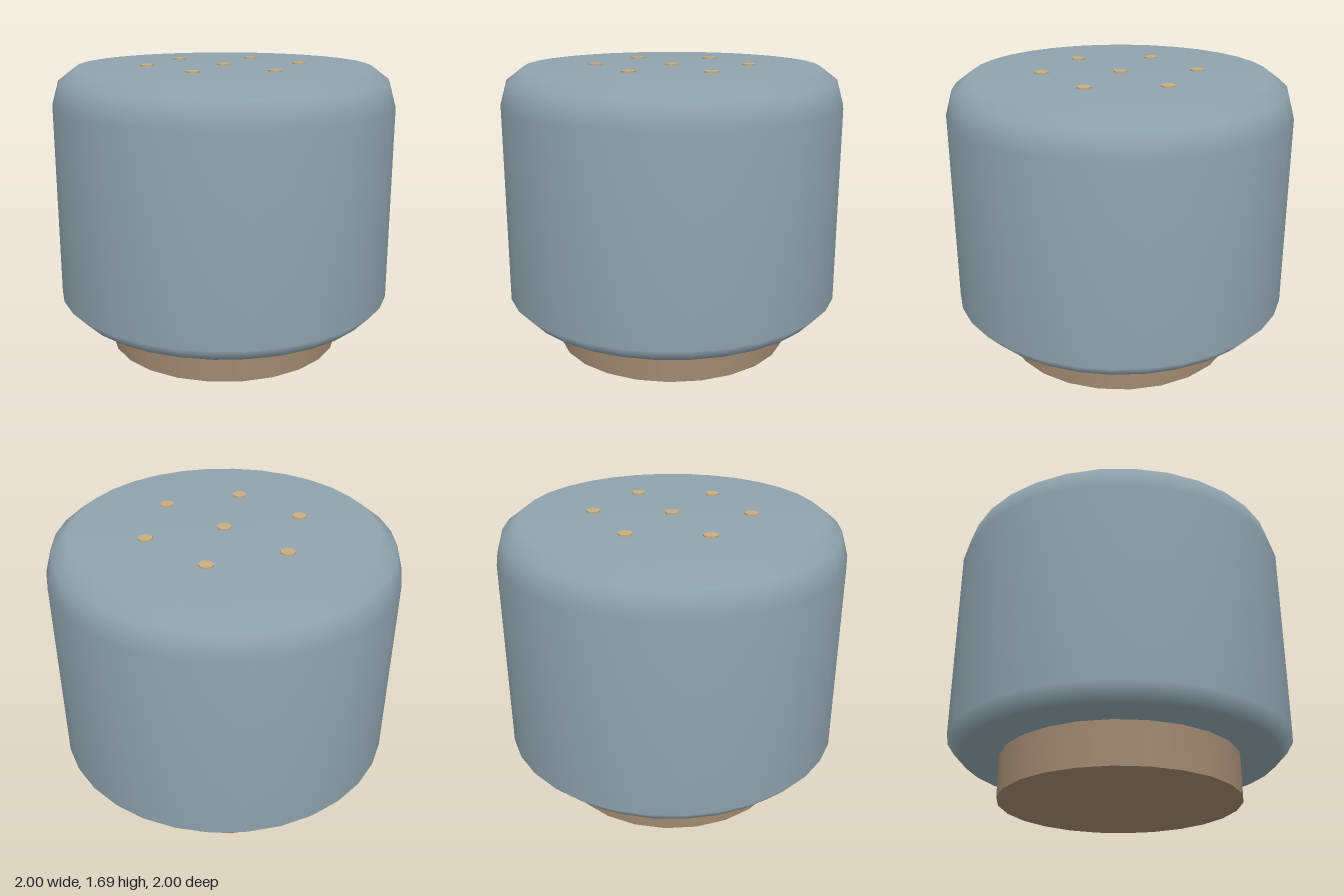
import * as THREE from 'three';

const paint = (color) => new THREE.MeshStandardMaterial({ color });

export function createModel() {
  const group = new THREE.Group();
  const add = (name, geometry, material, x, y, z) => {
    const mesh = new THREE.Mesh(geometry, material);
    mesh.name = name;
    mesh.position.set(x, y, z);
    group.add(mesh);
  };

  // Rounded body, turned from a profile running bottom to top
  const profile = [
    [0, 0.245], [0.92, 0.245], [1, 0.33], [1, 1.47],
    [0.96, 1.61], [0.86, 1.685], [0, 1.685],
  ].map(([r, y]) => new THREE.Vector2(r, y));
  add('body', new THREE.LatheGeometry(profile, 32), paint(0x90a4ae), 0, 0, 0);

  // Plug under the body
  add('plug', new THREE.CylinderGeometry(0.7, 0.7, 0.26, 24), paint(0xa08970), 0, 0.13, 0);

  // Shaker holes: one in the middle, six in a ring
  const hole = new THREE.CylinderGeometry(0.04, 0.04, 0.02, 12);
  const holePaint = paint(0xc8ad7f);
  add('centreHole', hole, holePaint, 0, 1.684, 0);
  for (let i = 0; i < 6; i++) {
    const a = (i * Math.PI) / 3;
    add('ringHole', hole, holePaint, 0.45 * Math.cos(a), 1.684, 0.45 * Math.sin(a));
  }
  return group;
}
